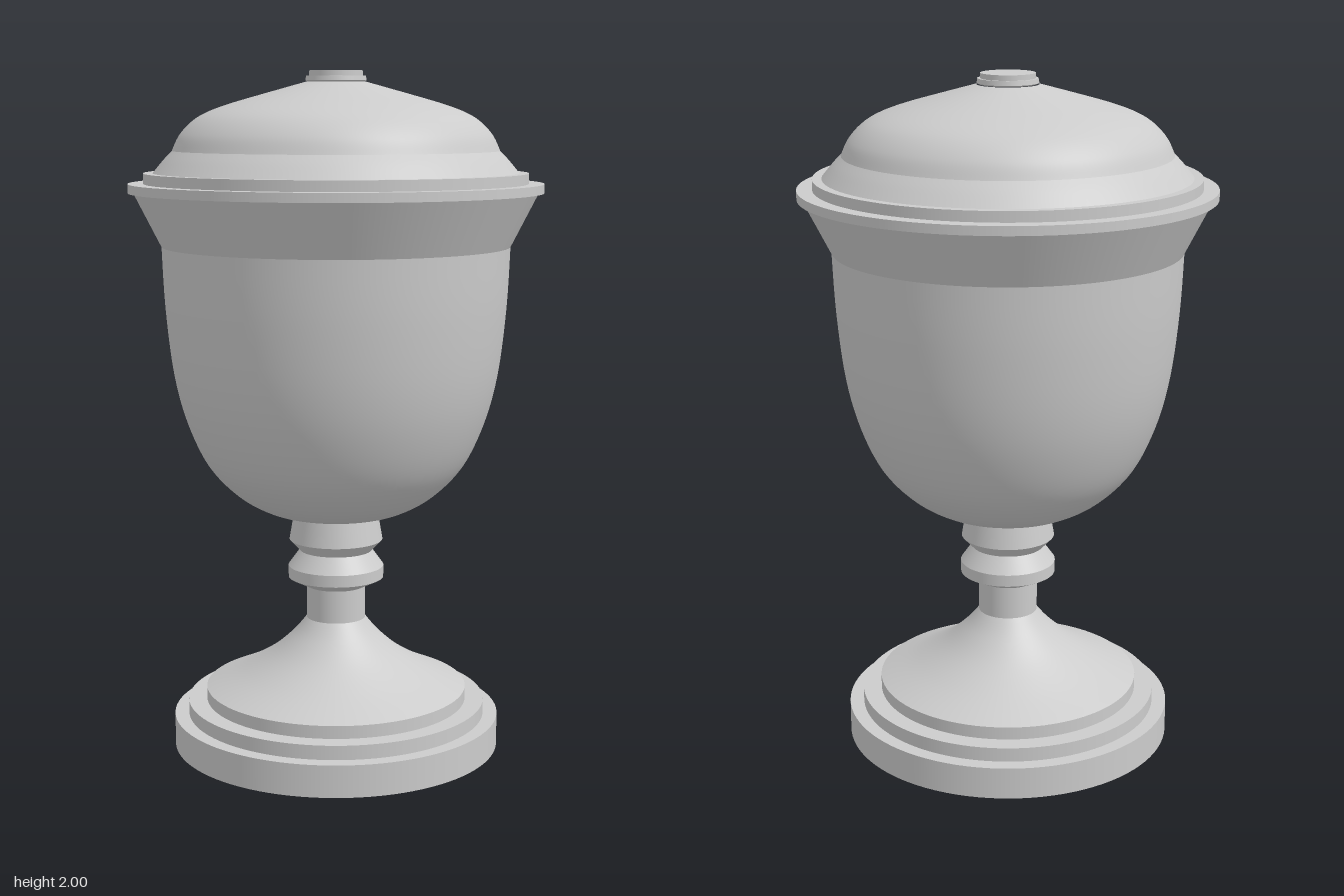
import * as THREE from 'three';

const SEGMENTS = 96;

export function createModel() {
  const model = new THREE.Group();
  model.name = 'lidded urn';
  const material = new THREE.MeshStandardMaterial({ color: 0xcccccc });

  const toVectors = (points) => points.map(([r, y]) => new THREE.Vector2(r, y));

  function addLathe(parent, name, points) {
    const mesh = new THREE.Mesh(new THREE.LatheGeometry(points, SEGMENTS), material);
    mesh.name = name;
    parent.add(mesh);
  }

  // Turned part with a hard edge at every profile point
  function turned(name, profile) {
    const group = new THREE.Group();
    group.name = name;
    const points = toVectors(profile);
    for (let i = 0; i < points.length - 1; i++) {
      addLathe(group, `${name}Band${i + 1}`, [points[i], points[i + 1]]);
    }
    model.add(group);
  }

  // Turned part with a smooth curve through its profile points
  function curved(name, profile, divisions) {
    addLathe(model, name, new THREE.SplineCurve(toVectors(profile)).getPoints(divisions));
  }

  // Stepped round foot
  turned('foot', [
    [0, 0], [0.487, 0], [0.487, 0.095], [0.445, 0.095],
    [0.445, 0.137], [0.39, 0.137], [0.39, 0.175],
  ]);

  // Concave slope rising to the stem
  curved('footSlope', [
    [0.39, 0.175], [0.285, 0.223], [0.196, 0.277], [0.13, 0.335], [0.088, 0.385],
  ], 24);

  // Stem with ring and collar
  turned('stem', [
    [0.088, 0.385], [0.088, 0.483], [0.142, 0.51], [0.142, 0.545],
    [0.108, 0.592], [0.139, 0.625], [0.126, 0.7],
  ]);

  // Rounded bowl
  curved('bowl', [
    [0.1, 0.693], [0.135, 0.7], [0.215, 0.722], [0.3, 0.773], [0.38, 0.86],
    [0.438, 0.985], [0.475, 1.13], [0.497, 1.32], [0.506, 1.5],
  ], 40);

  // Flared lip, rim and ledge under the lid
  turned('rim', [
    [0.506, 1.5], [0.584, 1.654], [0.6, 1.654], [0.6, 1.68],
    [0.555, 1.68], [0.555, 1.71], [0.528, 1.71],
  ]);

  // Domed lid: concave skirt and crown
  curved('lidSkirt', [[0.528, 1.71], [0.497, 1.747], [0.472, 1.773]], 8);
  curved('lidCrown', [
    [0.472, 1.773], [0.452, 1.815], [0.418, 1.853], [0.376, 1.88],
    [0.31, 1.905], [0.21, 1.934], [0.088, 1.968],
  ], 32);

  // Flat button on top
  turned('lidButton', [
    [0.08, 1.968], [0.088, 1.972], [0.086, 1.985], [0.078, 1.985], [0.078, 2], [0, 2],
  ]);

  return model;
}
